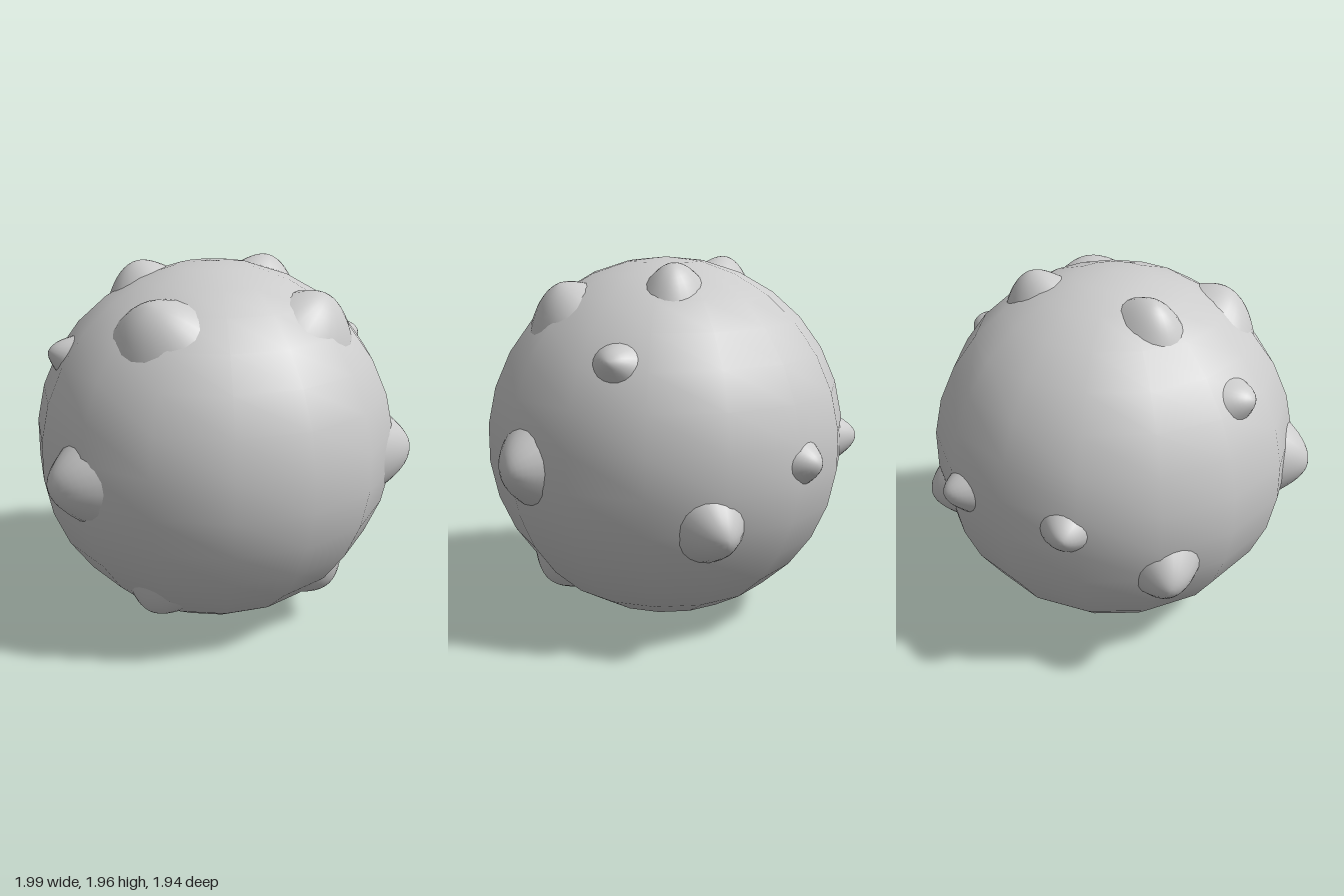
import * as THREE from 'three';

const RADIUS = 0.98;
const RINGS = 9, SIDES = 20;
const material = new THREE.MeshStandardMaterial({ color: 0xcccccc });

// Rounded knob lofted from its tip to an elliptical rim sunk into the ball.
// centre and tip are relative to the ball centre; axis is the long direction.
function knobGeometry(centre, tip, axis, long, short) {
  const normal = centre.clone().normalize();
  const u = axis.clone().addScaledVector(normal, -axis.dot(normal)).normalize();
  const v = new THREE.Vector3().crossVectors(normal, u);
  const height = tip.length();
  const tipDir = tip.clone().normalize();
  const rimHeight = 0.93, spread = 1.22;
  const positions = [...tip.toArray()], index = [];

  for (let i = 1; i <= RINGS; i++) {
    const r = i / RINGS;
    const profile = 0.6 * (1 - r * r) + 0.2 * (1 + Math.cos(Math.PI * r));
    const level = rimHeight + (height - rimHeight) * profile;
    for (let j = 0; j < SIDES; j++) {
      const a = (j / SIDES) * Math.PI * 2;
      const rim = normal.clone()
        .addScaledVector(u, Math.cos(a) * long * spread)
        .addScaledVector(v, Math.sin(a) * short * spread)
        .normalize();
      const p = tipDir.clone().lerp(rim, r).setLength(level);
      positions.push(p.x, p.y, p.z);
      const k = (j + 1) % SIDES;
      const here = 1 + (i - 1) * SIDES, inner = here - SIDES;
      if (i === 1) index.push(0, here + j, here + k);
      else index.push(inner + j, here + j, here + k, inner + j, here + k, inner + k);
    }
  }
  const geometry = new THREE.BufferGeometry();
  geometry.setAttribute('position', new THREE.Float32BufferAttribute(positions, 3));
  geometry.setIndex(index);
  geometry.computeVertexNormals();
  return geometry;
}

// Left-hand knobs: centre, tip, long axis, half-length, half-width
const knobs = [
  { name: 'upperFrontKnob', centre: [0.45, 0.74, 0.44], tip: [0.47, 0.84, 0.42], axis: [0.43, -0.05, -0.35], size: [0.27, 0.22] },
  { name: 'upperBackKnob', centre: [0.37, 0.87, -0.21], tip: [0.39, 0.96, -0.21], axis: [1, -0.4, -0.1], size: [0.2, 0.155] },
  { name: 'upperSideKnob', centre: [0.8, 0.535, -0.09], tip: [0.88, 0.54, -0.09], axis: [0, 0, 1], size: [0.135, 0.115] },
  { name: 'frontSideKnob', centre: [0.87, -0.03, 0.44], tip: [0.99, -0.03, 0.42], axis: [0, 1, 0], size: [0.21, 0.2] },
  { name: 'backSideKnob', centre: [0.73, -0.3, -0.56], tip: [0.79, -0.31, -0.66], axis: [0, 1, 0], size: [0.19, 0.17] },
  { name: 'lowerFrontKnob', centre: [0.46, -0.72, 0.46], tip: [0.5, -0.76, 0.48], axis: [0.4, 0.5, 0.4], size: [0.19, 0.18] },
  { name: 'backKnob', centre: [0.33, 0, -0.91], tip: [0.37, 0.01, -0.98], axis: [1, 0, 0], size: [0.13, 0.12] },
];

export function createModel() {
  const model = new THREE.Group();
  model.name = 'knobbyBall';
  model.position.set(0, RADIUS, 0.01);

  // Fifteen-sided smooth ball with a corner column at the back
  const ball = new THREE.Mesh(new THREE.SphereGeometry(RADIUS, 15, 15, -Math.PI / 2), material);
  ball.name = 'ball';
  model.add(ball);

  // Mirrored pairs of knobs
  for (const knob of knobs) {
    for (const side of [1, -1]) {
      const [centre, tip, axis] = [knob.centre, knob.tip, knob.axis]
        .map(([x, y, z]) => new THREE.Vector3(side * x, y, z));
      const mesh = new THREE.Mesh(knobGeometry(centre, tip, axis, ...knob.size), material);
      mesh.name = knob.name + (side > 0 ? 'Left' : 'Right');
      model.add(mesh);
    }
  }

  const root = new THREE.Group();
  root.add(model);
  return root;
}
